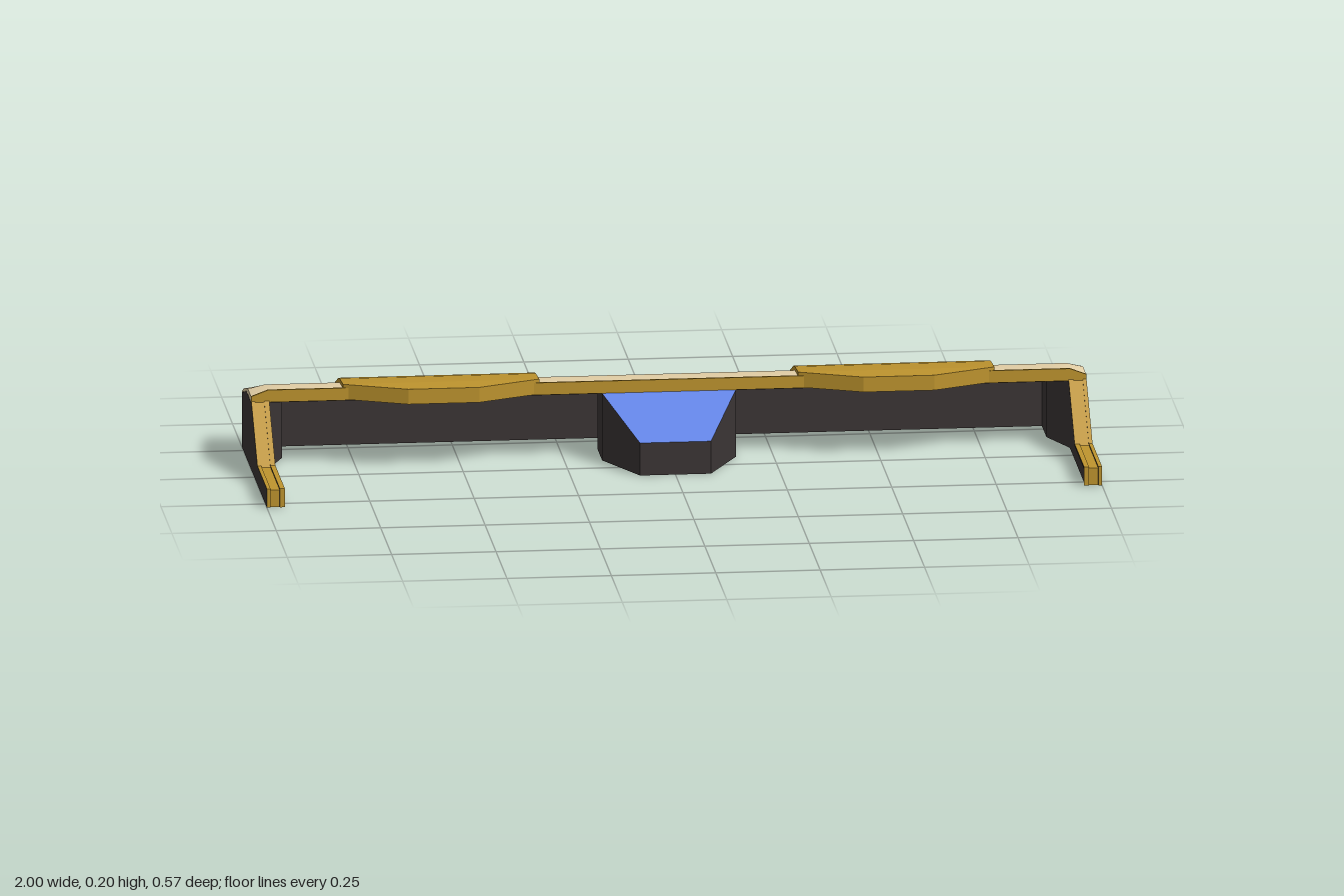
import * as THREE from 'three';
import { toCreasedNormals } from 'three/addons/utils/BufferGeometryUtils.js';

const mat = (name, color, side = THREE.FrontSide) => {
  const m = new THREE.MeshStandardMaterial({ color, side });
  m.name = name;
  return m;
};

const shapeOf = (pts) => new THREE.Shape(pts.map(([a, b]) => new THREE.Vector2(a, b)));

// Side profile of [z, y] points, extruded from x0 to x1
function acrossX(pts, x0, x1, steps = 1) {
  const g = new THREE.ExtrudeGeometry(shapeOf(pts), { depth: x1 - x0, steps, bevelEnabled: false });
  g.rotateY(-Math.PI / 2);
  g.translate(x1, 0, 0);
  return g;
}

// Plan outline of [x, z] points, extruded from y0 to y1
function upY(pts, y0, y1) {
  const g = new THREE.ExtrudeGeometry(shapeOf(pts), { depth: y1 - y0, bevelEnabled: false });
  g.rotateX(Math.PI / 2);
  g.translate(0, y1, 0);
  return g;
}

// Flat polygons, each a convex fan of [x, y, z] corners
function polygons(faces) {
  const out = [];
  for (const f of faces)
    for (let i = 1; i < f.length - 1; i++) out.push(...f[0], ...f[i], ...f[i + 1]);
  const g = new THREE.BufferGeometry();
  g.setAttribute('position', new THREE.Float32BufferAttribute(out, 3));
  g.computeVertexNormals();
  return g;
}

export function createModel() {
  const dark = mat('charcoal', 0x3b3535, THREE.DoubleSide);
  const gold = mat('gold', 0xbe942e);
  const tan = mat('cream', 0xeed9ae);
  const blue = mat('blue', 0x6183e6, THREE.DoubleSide);
  const root = new THREE.Group();
  root.name = 'counter';
  const add = (name, geo, material) => {
    const m = new THREE.Mesh(geo, material);
    m.name = name;
    root.add(m);
  };

  // Thin rear wall and the dark lining beneath the counter top
  const wall = new THREE.BoxGeometry(2, 0.135, 0.006);
  wall.translate(0, 0.0675, -0.282);
  add('rearWall', wall, dark);
  add('topLining', acrossX([[-0.283, 0.133], [-0.18, 0.163], [-0.075, 0.163],
    [-0.075, 0.166], [-0.18, 0.166], [-0.283, 0.136]], -0.96, 0.96), dark);

  // Curved counter top, dipping at both ends
  const top = acrossX([[-0.285, 0.135], [-0.18, 0.165], [-0.075, 0.165], [-0.075, 0.193],
    [-0.15, 0.188], [-0.19, 0.176], [-0.24, 0.156], [-0.285, 0.137]], -1, 1, 50);
  const p = top.attributes.position;
  for (let i = 0; i < p.count; i++)
    if (Math.abs(p.getX(i)) > 0.98 && p.getY(i) > 0.17)
      p.setY(i, p.getY(i) - 0.015 * (p.getZ(i) + 0.285) / 0.21);
  add('counterTop', toCreasedNormals(top, 0.5), tan);

  // Gold fascia along the front of the counter top
  const fascia = new THREE.ExtrudeGeometry(shapeOf([[-1, 0.165], [1, 0.165], [1, 0.18],
    [0.96, 0.195], [-0.96, 0.195], [-1, 0.18]]), { depth: 0.006, bevelEnabled: false });
  fascia.translate(0, 0, -0.076);
  add('frontFascia', fascia, gold);

  const panel = [[0.279, 0], [0.279, 0.04], [0.07, 0.04], [-0.07, 0.164], [-0.18, 0.164],
    [-0.285, 0.135], [-0.285, 0]];
  // Trim following the front and upper edge of the side panel
  const trim = (t) => [[0.279 + t, 0], [0.279 + t, 0.04 + t], [0.07 - t * 0.3, 0.04 + t],
    [-0.07 - t * 0.3, 0.164 + t], [-0.07, 0.16], [0.07, 0.04], [0.279, 0.04], [0.279, 0]];

  for (const s of [1, -1]) {
    const span = (pts, a, b) => (s > 0 ? acrossX(pts, a, b) : acrossX(pts, -b, -a));
    const side = s > 0 ? 'left' : 'right';

    // Side panel with an inner brace that widens towards the wall
    add(side + 'SidePanel', span(panel, 0.96, 1), dark);
    add(side + 'Brace', polygons([
      [[s * 0.96, 0, -0.07], [s * 0.915, 0, -0.175], [s * 0.915, 0.164, -0.175], [s * 0.96, 0.164, -0.07]],
      [[s * 0.915, 0, -0.175], [s * 0.915, 0, -0.282], [s * 0.915, 0.134, -0.282], [s * 0.915, 0.164, -0.175]],
      [[s * 0.96, 0, -0.07], [s * 0.96, 0, -0.282], [s * 0.915, 0, -0.282], [s * 0.915, 0, -0.175]],
    ]), dark);

    // Gold trim with dark flanks: recessed strip between two raised rails
    add(side + 'TrimBase', span(trim(0.002), 0.969, 0.991), gold);
    add(side + 'TrimInnerRail', span(trim(0.006), 0.957, 0.969), [dark, gold]);
    add(side + 'TrimOuterRail', span(trim(0.006), 0.991, 1), [dark, gold]);

    // Gold pad draped over the counter, reaching just below the lining at the back
    const pad = span([[-0.075, 0.166], [-0.075, 0.203], [-0.15, 0.197], [-0.178, 0.192],
      [-0.23, 0.172], [-0.279, 0.152], [-0.274, 0.138], [-0.24, 0.143], [-0.2, 0.161],
      [-0.18, 0.166]], 0.31, 0.78);
    add(side + 'Pad', toCreasedNormals(pad, 0.5), gold);
    // Tapered front lip of the pad
    add(side + 'PadLip', upY([[0.31, -0.0755], [0.46, -0.013], [0.63, -0.013], [0.78, -0.0755]]
      .map(([x, z]) => [s * x, z]), 0.166, 0.203), gold);
  }

  // Central podium: open shell running back to the wall, with a sloping blue panel
  const sideFace = (s) => [[s * 0.085, 0, 0.08], [s * 0.16, 0, -0.07],
    [s * 0.16, 0.165, -0.07], [s * 0.085, 0.08, 0.08]];
  const backFace = (s) => [[s * 0.16, 0, -0.07], [s * 0.16, 0, -0.18],
    [s * 0.16, 0.164, -0.18], [s * 0.16, 0.165, -0.07]];
  add('podium', polygons([
    [[-0.085, 0, 0.08], [0.085, 0, 0.08], [0.085, 0.08, 0.08], [-0.085, 0.08, 0.08]],
    sideFace(1), backFace(1),
    sideFace(-1).reverse(), backFace(-1).reverse(),
  ]), dark);
  add('podiumPanel', polygons([
    [[-0.085, 0.08, 0.08], [0.085, 0.08, 0.08], [0.16, 0.165, -0.07], [-0.16, 0.165, -0.07]],
  ]), blue);
  return root;
}
